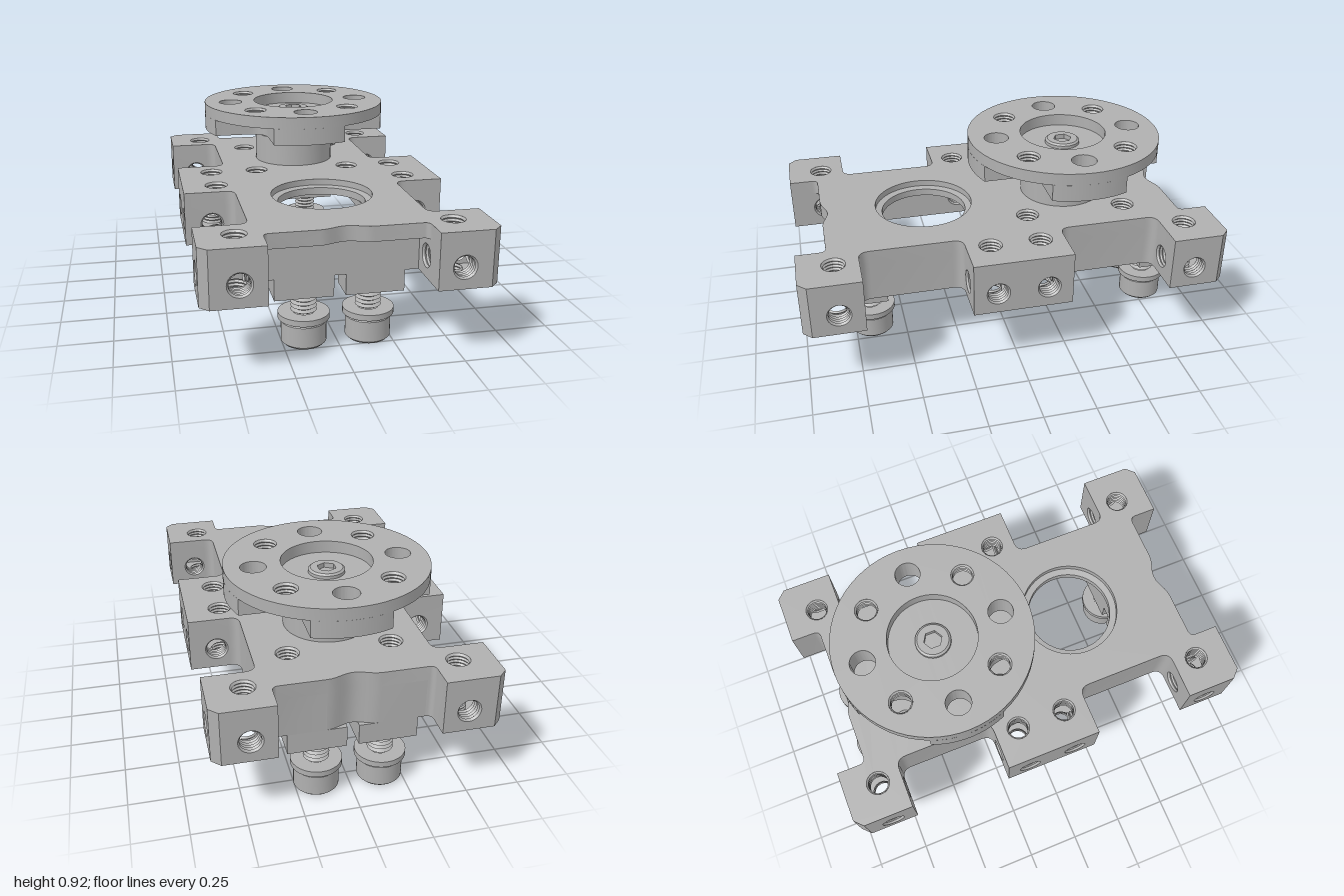
import * as THREE from 'three';
import { mergeGeometries, toCreasedNormals } from 'three/addons/utils/BufferGeometryUtils.js';

const R = 0.055; // mouth radius of every tapped hole
const Y0 = 0.34, YM = 0.53, Y1 = 0.6; // bottom, pocket ceiling and top of the frame
const HUB_Z = -0.36;

const circle = (x, y, r) => new THREE.Path().absarc(x, y, r, 0, Math.PI * 2, true);
const polygon = pts => new THREE.Shape(pts.map(([x, y]) => new THREE.Vector2(x, y)));
const lathe = (pts, seg = 40) =>
  new THREE.LatheGeometry(pts.map(([r, y]) => new THREE.Vector2(r, y)), seg);

// Join pieces, smooth along curves, sharp at edges
function join(list, angle = 0.6) {
  const flat = list.map(g => {
    const n = g.index ? g.toNonIndexed() : g;
    n.deleteAttribute('uv');
    return n;
  });
  return toCreasedNormals(mergeGeometries(flat), angle);
}

// Horizontal slab from a plan shape drawn in (x, -z)
function slab(shape, y, h) {
  return new THREE.ExtrudeGeometry(shape, { depth: h, bevelEnabled: false, curveSegments: 32 })
    .rotateX(-Math.PI / 2).translate(0, y, 0);
}

// Threaded lining of a hole, from its mouth at y = 0 downwards
function bore(depth) {
  const pts = [[R, 0], [R - 0.008, -0.01]];
  for (let y = 0.018, i = 0; y < depth; y += 0.008, i++) pts.push([i % 2 ? R - 0.008 : R - 0.001, -y]);
  return lathe(pts, 24);
}

// Replace corners [x, z, radius] by rounded ones
function rounded(pts) {
  return pts.flatMap((p, i) => {
    if (!p[2]) return [[p[0], p[1]]];
    const c = new THREE.Vector2(p[0], p[1]);
    const toward = q => c.clone().add(new THREE.Vector2(q[0], q[1]).sub(c).setLength(p[2]));
    return new THREE.QuadraticBezierCurve(toward(pts[i - 1]), c, toward(pts[i + 1]))
      .getPoints(6).map(v => [v.x, v.y]);
  });
}

// End edge of the frame up to the side tab, for one quarter of the plan
const quarter = end => rounded([...end, [0.36, 1], [0.6, 1], [0.64, 0.96], [0.64, 0.72],
  [0.4, 0.72, 0.05], [0.4, 0.235, 0.05], [0.64, 0.235]]);

// Full loop from a front quarter and a back quarter
function loop(front, back) {
  const half = [...front, ...back.map(([x, z]) => [x, -z]).reverse()];
  return [...half, ...half.slice(1, -1).reverse().map(([x, z]) => [-x, z])];
}

// Upright walls along a plan loop, pierced by the cross holes that meet them
function walls(pts) {
  const out = [];
  pts.forEach(([ax, az], i) => {
    const [bx, bz] = pts[(i + 1) % pts.length];
    const dx = bx - ax, dz = bz - az, len = Math.hypot(dx, dz);
    const panel = polygon([[0, Y0], [len, Y0], [len, YM], [0, YM]]);
    const parts = [];
    let where = [];
    if (Math.abs(dx) < 1e-6) where = [-0.835, -0.12, 0.12, 0.835].map(z => (z - az) * Math.sign(dz));
    else if (Math.abs(dz) < 1e-6) where = [-0.475, 0.475].map(x => (x - ax) * Math.sign(dx));
    if (len > 0.125) for (const w of where) {
      if (w < -0.03 || w > len + 0.03) continue;
      const u = Math.min(Math.max(w, R + 0.005), len - R - 0.005);
      panel.holes.push(circle(u, 0.44, R));
      parts.push(bore(0.085).rotateX(Math.PI / 2).translate(u, 0.44, 0));
    }
    parts.push(new THREE.ShapeGeometry(panel, 12));
    for (const g of parts) out.push(g.rotateY(Math.atan2(-dz, dx)).translate(ax, 0, az));
  });
  return out;
}

function frameGeometry() {
  const dip = [];
  for (let i = 0; i <= 6; i++) dip.push([i * 0.02, 0.86 - 0.015 * (1 + Math.cos(Math.PI * i / 6))]);
  const lipped = quarter([...dip, [0.36, 0.86, 0.03]]);
  const recessed = quarter([[0, 0.74], [0.36, 0.74]]);
  const tapped = [];
  for (const x of [-0.475, 0.475]) for (const z of [-0.835, -0.12, 0.12, 0.835]) tapped.push([x, z]);
  const mounting = [];
  for (const x of [-0.24, 0.24]) for (const z of [-0.61, -0.12]) mounting.push([x, z]);

  // Top plate
  const top = polygon(loop(lipped, lipped).map(([x, z]) => [x, -z]));
  for (const [x, z] of [...tapped, ...mounting]) top.holes.push(circle(x, -z, R));
  top.holes.push(circle(0, -0.355, 0.24), circle(0, -HUB_Z, 0.2));
  const parts = [slab(top, YM, Y1 - YM)];
  for (const [x, z] of tapped) parts.push(bore(0.1).translate(x, Y1, z));
  for (const [x, z] of mounting) parts.push(bore(0.07).translate(x, Y1, z));

  // Ledge inside the large opening
  parts.push(lathe([[0.24, 0.57], [0.208, 0.565], [0.208, YM], [0.24, YM]], 48).translate(0, 0, 0.355));

  // Lower walls around the open pocket
  const outer = loop(recessed, lipped);
  const pocket = [[-0.32, 0.59], [-0.32, -0.71], [0.32, -0.71], [0.32, 0.59]];
  const bottom = polygon(outer);
  bottom.holes.push(polygon(pocket));
  for (const [x, z] of tapped) {
    bottom.holes.push(circle(x, z, R));
    parts.push(bore(0.05).rotateX(Math.PI).translate(x, Y0, z));
  }
  parts.push(new THREE.ShapeGeometry(bottom, 12).rotateX(Math.PI / 2).translate(0, Y0, 0));
  parts.push(...walls(outer), ...walls(pocket));
  return join(parts);
}

// Flat ring with a hexagonal socket, facing up at y = 0
function hexSocket(rim, hex, depth) {
  const face = new THREE.Shape().absarc(0, 0, rim, 0, Math.PI * 2, false);
  const six = [0, 1, 2, 3, 4, 5].map(i => [hex * Math.sin(i * Math.PI / 3), hex * Math.cos(i * Math.PI / 3)]);
  face.holes.push(polygon(six));
  return [
    new THREE.ShapeGeometry(face, 20).rotateX(-Math.PI / 2),
    new THREE.CylinderGeometry(hex, hex, depth, 6, 1, true).translate(0, -depth / 2, 0),
    new THREE.CircleGeometry(hex, 6).rotateX(-Math.PI / 2).rotateY(Math.PI / 6).translate(0, -depth, 0),
  ];
}

function screwGeometry() {
  const thread = [];
  for (let i = 0; i <= 10; i++) thread.push([i % 2 ? 0.06 : 0.044, 0.15 + i * 0.0095]);
  return join([
    ...hexSocket(0.092, 0.052, 0.06).map(g => g.rotateX(Math.PI)),
    lathe([[0.092, 0], [0.104, 0.012], [0.104, 0.108], [0.096, 0.118], [0, 0.118]]),
    lathe(thread, 24),
  ]);
}

function hornGeometry() {
  const top = new THREE.Shape().absarc(0, 0, 0.475, 0, Math.PI * 2, false);
  // Four lobes with rounded notches at the diagonals
  const lobes = new THREE.Shape();
  const e = Math.asin(0.18 / 0.475);
  for (let k = 0; k < 4; k++) {
    const a = k * Math.PI / 2, c = Math.round(Math.cos(a)), s = Math.round(Math.sin(a));
    const p = (x, y) => [x * c - y * s, x * s + y * c];
    lobes.absarc(0, 0, 0.475, a - e, a + e, false);
    lobes.lineTo(...p(0.28, 0.18));
    lobes.quadraticCurveTo(...p(0.18, 0.18), ...p(0.18, 0.28));
  }
  lobes.closePath();
  const parts = [];
  for (let k = 0; k < 4; k++) {
    const a = k * Math.PI / 2, x = 0.34 * Math.cos(a), y = 0.34 * Math.sin(a);
    const b = a + Math.PI / 4, u = 0.34 * Math.cos(b), v = 0.34 * Math.sin(b);
    top.holes.push(circle(x, y, 0.06), circle(u, v, R));
    lobes.holes.push(circle(x, y, 0.06));
    parts.push(bore(0.06).translate(u, 0.915, v));
  }
  top.holes.push(circle(0, 0, 0.212));
  parts.push(slab(top, 0.857, 0.058), slab(lobes, 0.775, 0.082));
  return join(parts);
}

export function createModel() {
  const model = new THREE.Group();
  const metal = new THREE.MeshStandardMaterial({ color: 0xb0b0b0, side: THREE.DoubleSide });
  metal.name = 'grey metal';
  const add = (name, geometry, x = 0, y = 0, z = 0) => {
    const mesh = new THREE.Mesh(geometry, metal);
    mesh.name = name;
    mesh.position.set(x, y, z);
    model.add(mesh);
  };

  add('frame', frameGeometry());

  // Legs, screws and washers at both ends
  const leg = new THREE.BoxGeometry(0.27, 0.1, 0.15);
  const screw = screwGeometry();
  const washer = join([lathe([[0.05, 0.122], [0.118, 0.122], [0.118, 0.15], [0.05, 0.15]])]);
  for (const z of [0.665, -0.785]) for (const x of [-0.15, 0.15]) {
    add('leg', leg, x * 1.08, 0.29, z);
    add('screw', screw, x, 0, z);
    add('washer', washer, x, 0, z);
  }

  // Bearing hub, shaft and disc
  add('hub', join([lathe([[0.14, 0.62], [0.14, 0.55], [0.2, 0.55], [0.2, 0.6], [0.205, 0.6],
    [0.205, 0.745], [0.2, 0.752], [0.13, 0.752]], 48)]), 0, 0, HUB_Z);
  add('shaft', join([lathe([[0, 0.68], [0.07, 0.68], [0.07, 0.59], [0.11, 0.59], [0.11, 0.62],
    [0.14, 0.62], [0.14, 0.74], [0.147, 0.752], [0.147, 0.78]], 48)]), 0, 0, HUB_Z);
  add('outputDisc', hornGeometry(), 0, 0, HUB_Z);
  add('centreScrew', join([...hexSocket(0.075, 0.045, 0.03),
    lathe([[0.075, 0], [0.085, -0.008], [0.085, -0.03]])]), 0, 0.88, HUB_Z);
  return model;
}
